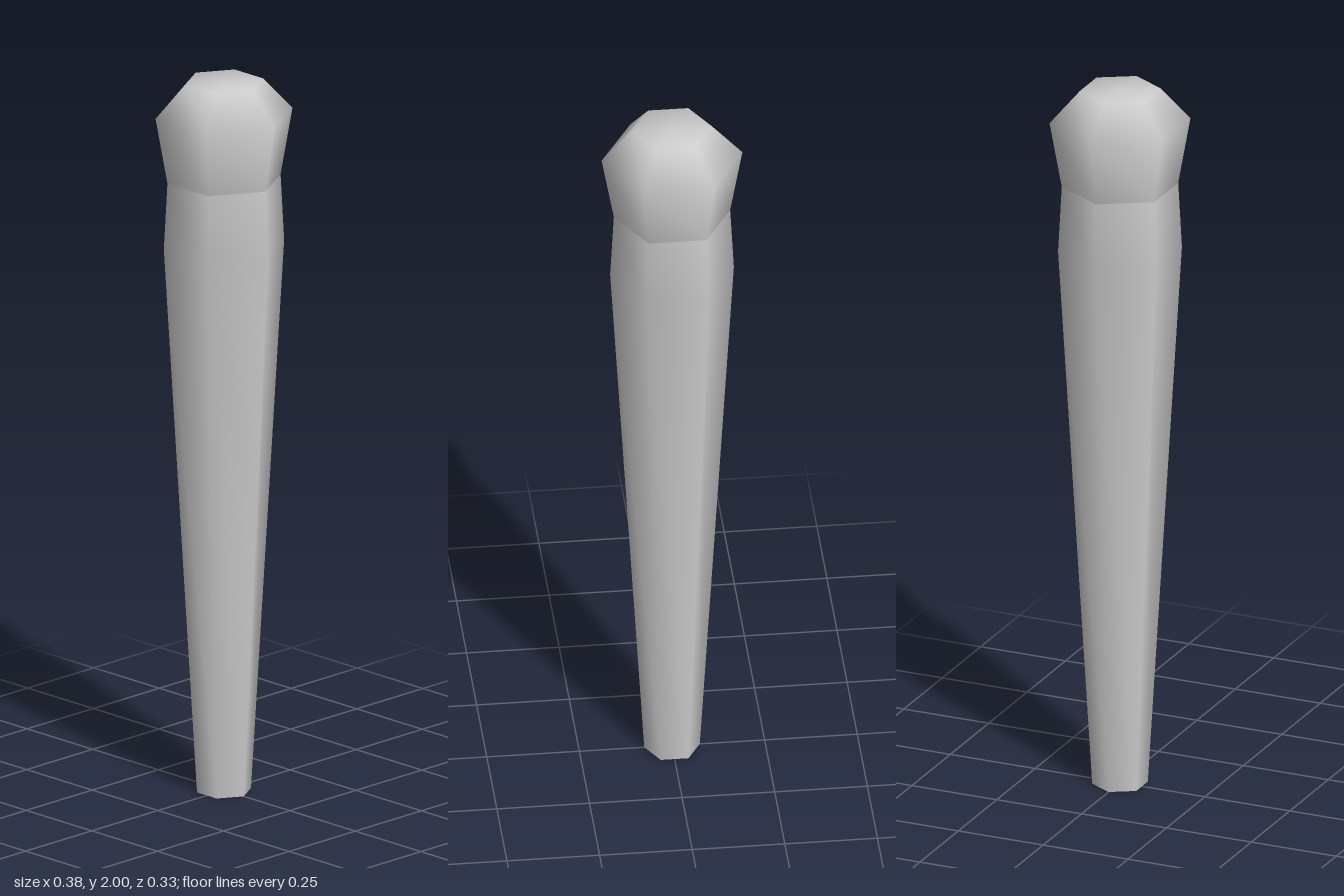
import * as THREE from 'three';

const SIDES = 6;
const material = new THREE.MeshStandardMaterial({ color: 0xcccccc });

// Six-sided smooth-shaded turning, with a corner on the x axis
function turned(name, profile) {
  const points = profile.map(([r, y]) => new THREE.Vector2(r, y));
  const mesh = new THREE.Mesh(new THREE.LatheGeometry(points, SIDES, Math.PI / 2), material);
  mesh.name = name;
  return mesh;
}

export function createModel() {
  const group = new THREE.Group();
  group.name = 'taperedPeg';

  // Long tapered shaft, narrowing again below the head
  group.add(turned('shaft', [[0.075, 0], [0.167, 1.54], [0.157, 1.725]]));

  // Flared, rounded head with a small flat top
  group.add(turned('head', [[0.157, 1.725], [0.19, 1.91], [0.108, 2], [0, 2]]));

  // Flat end of the shaft, facing down
  const foot = new THREE.Mesh(new THREE.CircleGeometry(0.075, SIDES).rotateX(Math.PI / 2), material);
  foot.name = 'footCap';
  group.add(foot);

  return group;
}
